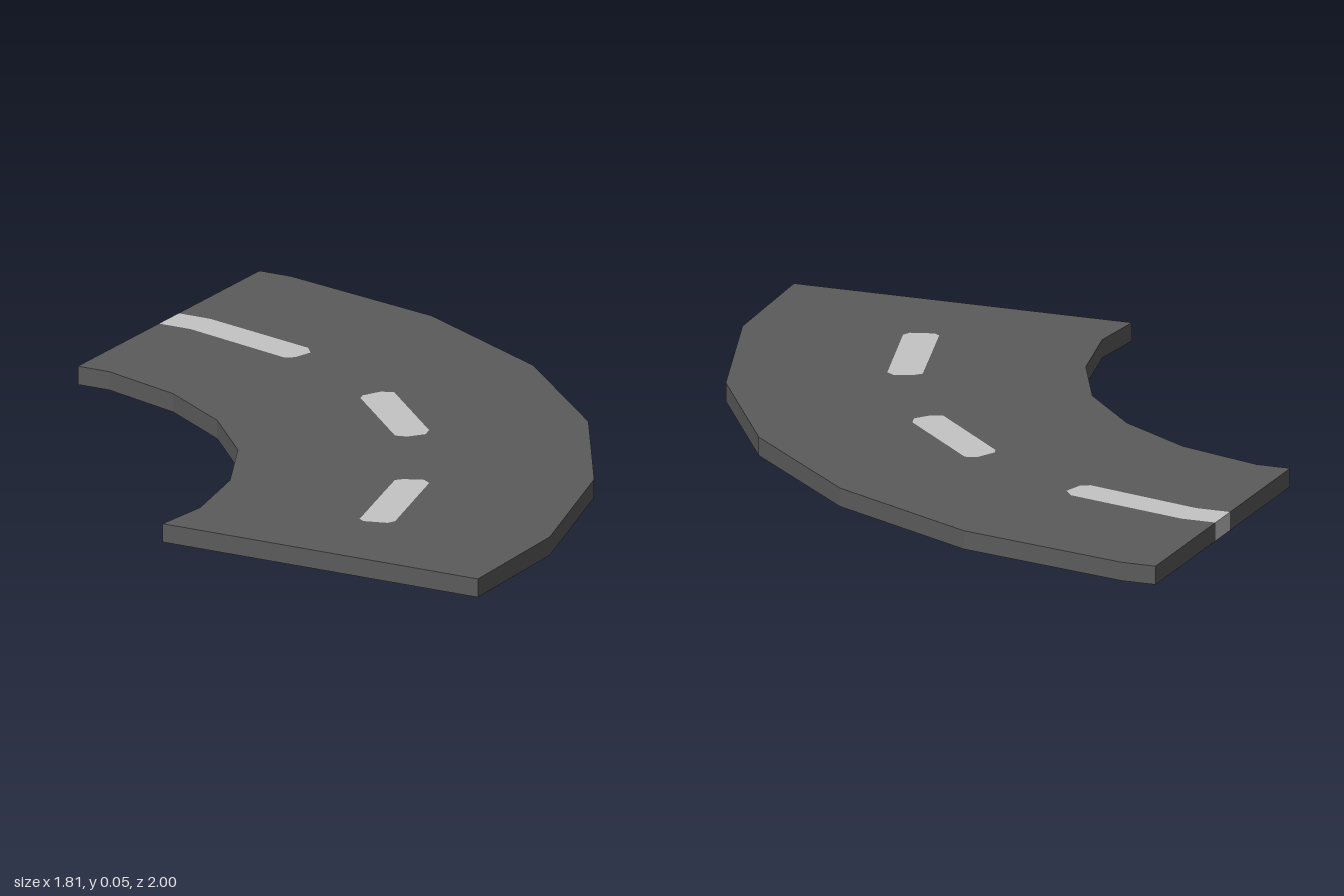
import * as THREE from 'three';

const THICKNESS = 0.05;

// Plan points are [x, z]; the shape plane uses y = -z so that it lies down facing up.
const toPoints = (plan) => plan.map(([x, z]) => new THREE.Vector2(x, -z));

function slab(name, plan, holes, material) {
  const shape = new THREE.Shape(toPoints(plan));
  for (const hole of holes) shape.holes.push(new THREE.Path(toPoints(hole)));
  const geometry = new THREE.ExtrudeGeometry(shape, { depth: THICKNESS, bevelEnabled: false });
  geometry.rotateX(-Math.PI / 2);
  const mesh = new THREE.Mesh(geometry, material);
  mesh.name = name;
  return mesh;
}

export function createModel() {
  const asphalt = new THREE.MeshStandardMaterial({ color: 0x5b5b5b });
  asphalt.name = 'asphalt grey';
  const paint = new THREE.MeshStandardMaterial({ color: 0xc4c4c4 });
  paint.name = 'line paint';

  // Lane dashes, set flush through the full thickness of the road
  const edgeDash = [
    [-0.905, -0.58], [-0.81, -0.58], [-0.465, -0.492], [-0.44, -0.46],
    [-0.455, -0.405], [-0.48, -0.39], [-0.81, -0.478], [-0.905, -0.478],
  ];
  const middleDash = [
    [-0.14, -0.21], [-0.115, -0.262], [-0.082, -0.275], [0.158, -0.04],
    [0.168, -0.005], [0.137, 0.037], [0.105, 0.045], [-0.133, -0.188],
  ];
  const frontDash = [
    [0.295, 0.375], [0.31, 0.357], [0.36, 0.335], [0.385, 0.352],
    [0.472, 0.68], [0.462, 0.702], [0.40, 0.72], [0.382, 0.708],
  ];

  // Road curve: outer rim, front end, inner rim, then a notch for the edge dash
  const outerRim = [
    [-0.905, -1], [-0.81, -1], [-0.325, -0.89], [0.115, -0.655],
    [0.48, -0.31], [0.74, 0.11], [0.887, 0.595], [0.905, 1],
  ];
  const innerRim = [
    [-0.04, 1], [-0.025, 0.83], [-0.075, 0.59], [-0.187, 0.355],
    [-0.36, 0.163], [-0.573, 0.023], [-0.81, -0.057], [-0.905, -0.057],
  ];
  const outline = [...outerRim, ...innerRim, ...[...edgeDash].reverse()];

  const group = new THREE.Group();
  group.name = 'curvedRoad';
  group.add(
    slab('roadSurface', outline, [middleDash, frontDash], asphalt),
    slab('edgeDash', edgeDash, [], paint),
    slab('middleDash', middleDash, [], paint),
    slab('frontDash', frontDash, [], paint),
  );
  return group;
}
